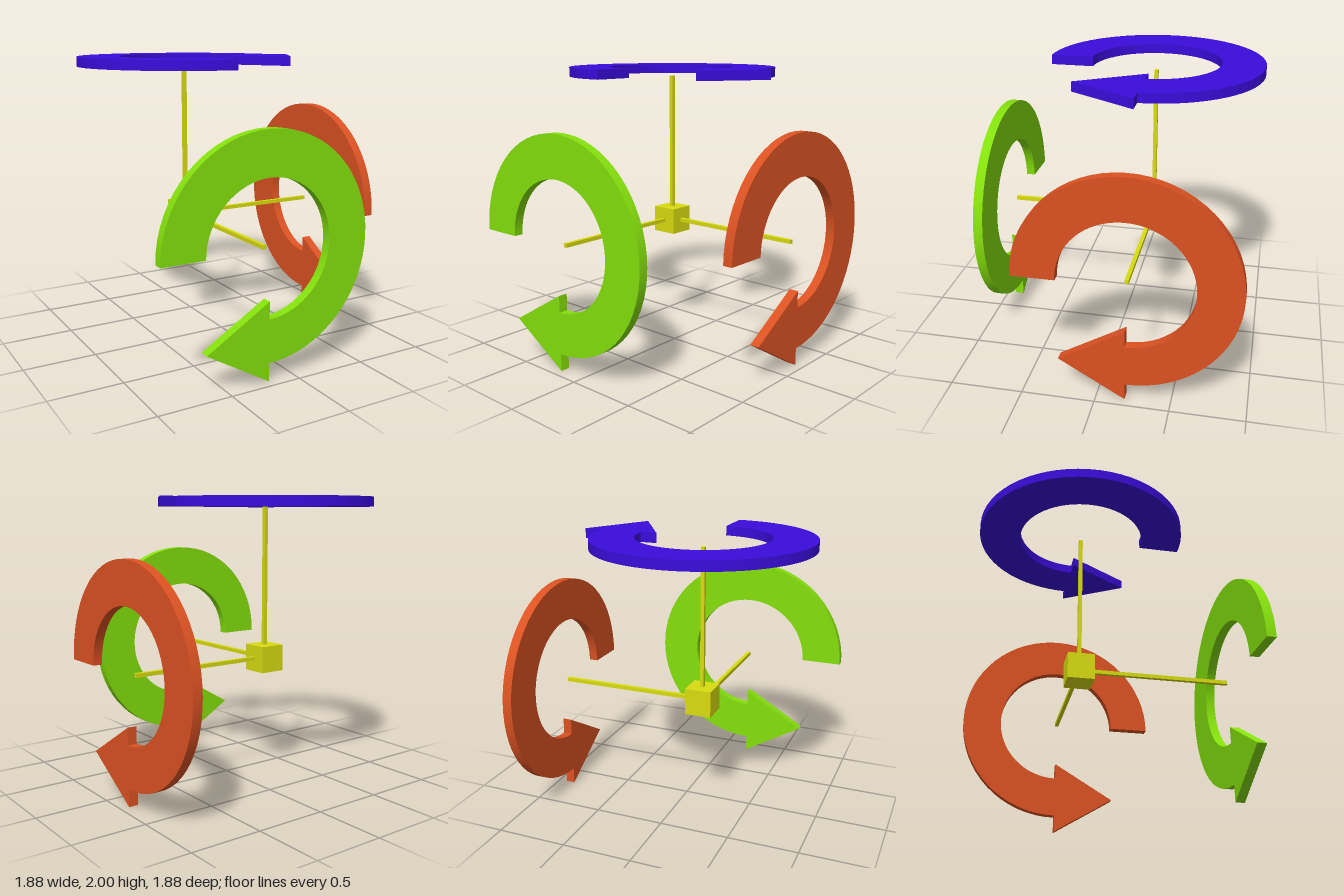
import * as THREE from 'three';
import { toCreasedNormals } from 'three/addons/utils/BufferGeometryUtils.js';

const OUTER = 0.745, INNER = 0.45;               // ring radii
const HEAD_MID = 0.6, HEAD_HALF = 0.267, HEAD_LENGTH = 0.448;
const NEAR = 1.067, THICK = 0.066;               // distance of each arrow from the hub
const HUB = 0.187, ROD = 0.027;

// Three-quarter ring running clockwise from the left to the bottom, ending in a head
function curvedArrowGeometry() {
  const s = new THREE.Shape();
  s.moveTo(-OUTER, 0);
  s.absarc(0, 0, OUTER, Math.PI, -Math.PI / 2, true);
  s.lineTo(0, -HEAD_MID - HEAD_HALF);
  s.lineTo(-HEAD_LENGTH, -HEAD_MID);
  s.lineTo(0, -HEAD_MID + HEAD_HALF);
  s.lineTo(0, -INNER);
  s.absarc(0, 0, INNER, -Math.PI / 2, Math.PI, false);
  s.closePath();
  const g = new THREE.ExtrudeGeometry(s, { depth: THICK, bevelEnabled: false, curveSegments: 24 });
  g.translate(0, 0, NEAR);
  return toCreasedNormals(g, 0.5);
}

export function createModel() {
  const model = new THREE.Group();
  model.name = 'rotationAxes';
  const yellow = new THREE.MeshStandardMaterial({ color: 0xd9dc10 });

  // Central cube
  const hub = new THREE.Mesh(new THREE.BoxGeometry(HUB, HUB, HUB), yellow);
  hub.name = 'hub';
  model.add(hub);

  // One rod and one curved arrow per axis, each built along local +z
  const rodGeometry = new THREE.BoxGeometry(ROD, ROD, NEAR).translate(0, 0, NEAR / 2);
  const arrowGeometry = curvedArrowGeometry();
  const axes = [
    ['front', 0x84e00c, [0, 0, 0]],
    ['side', 0xdc5222, [0, Math.PI / 2, 0]],
    ['top', 0x3a0cdc, [-Math.PI / 2, 0, Math.PI / 2]],
  ];
  for (const [name, color, rotation] of axes) {
    const axis = new THREE.Group();
    axis.name = name + 'Axis';
    const rod = new THREE.Mesh(rodGeometry, yellow);
    rod.name = name + 'Rod';
    const arrow = new THREE.Mesh(arrowGeometry, new THREE.MeshStandardMaterial({ color }));
    arrow.name = name + 'CurvedArrow';
    axis.add(rod, arrow);
    axis.rotation.set(...rotation);
    model.add(axis);
  }

  model.position.set(-0.194, 0.867, -0.194);
  return model;
}
